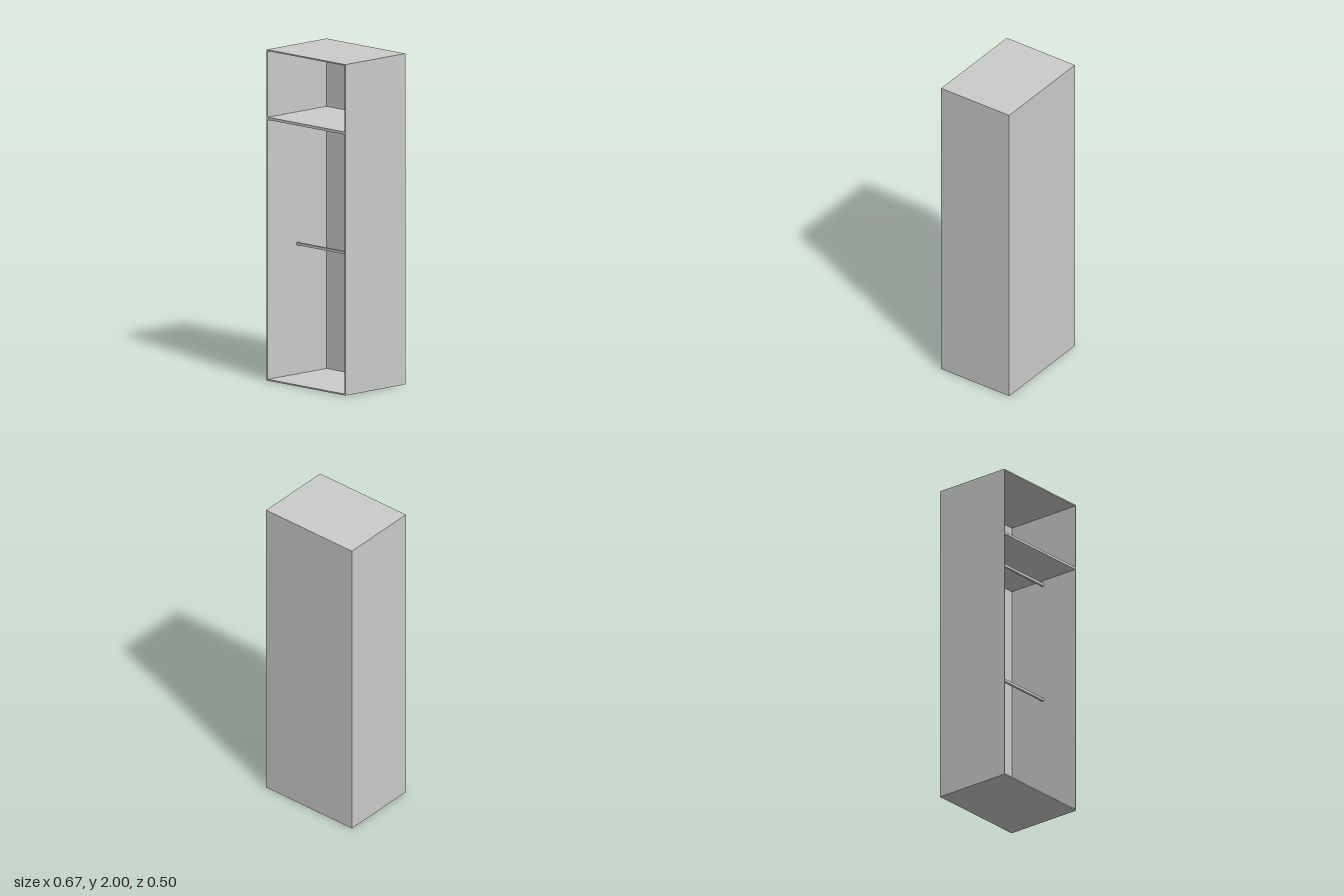
import * as THREE from 'three';

const W = 0.666, H = 2, D = 0.498; // overall size
const T = 0.008;                   // panel thickness
const BAR = 0.016;                 // shelf and rail thickness

export function createModel() {
  const group = new THREE.Group();
  const material = new THREE.MeshStandardMaterial({ color: 0xcccccc, flatShading: true });

  const addBox = (name, size, position) => {
    const mesh = new THREE.Mesh(new THREE.BoxGeometry(...size), material);
    mesh.name = name;
    mesh.position.set(...position);
    group.add(mesh);
  };

  const innerW = W - 2 * T;
  const innerD = D - T;

  // Open-fronted carcass
  for (const [name, side] of [['leftSide', 1], ['rightSide', -1]]) {
    addBox(name, [T, H, D], [side * (W - T) / 2, H / 2, 0]);
  }
  addBox('bottomPanel', [innerW, T, D], [0, T / 2, 0]);
  addBox('topPanel', [innerW, T, D], [0, H - T / 2, 0]);
  addBox('backPanel', [innerW, H - 2 * T, T], [0, H / 2, (T - D) / 2]);

  // Upper shelf, flush with the front
  addBox('shelf', [innerW, BAR, innerD], [0, 1.584, T / 2]);

  // Hanging rails spanning the side panels at mid depth
  for (const [name, y] of [['upperRail', 1.547], ['lowerRail', 0.795]]) {
    addBox(name, [innerW, BAR, BAR], [0, y, 0]);
  }

  return group;
}
